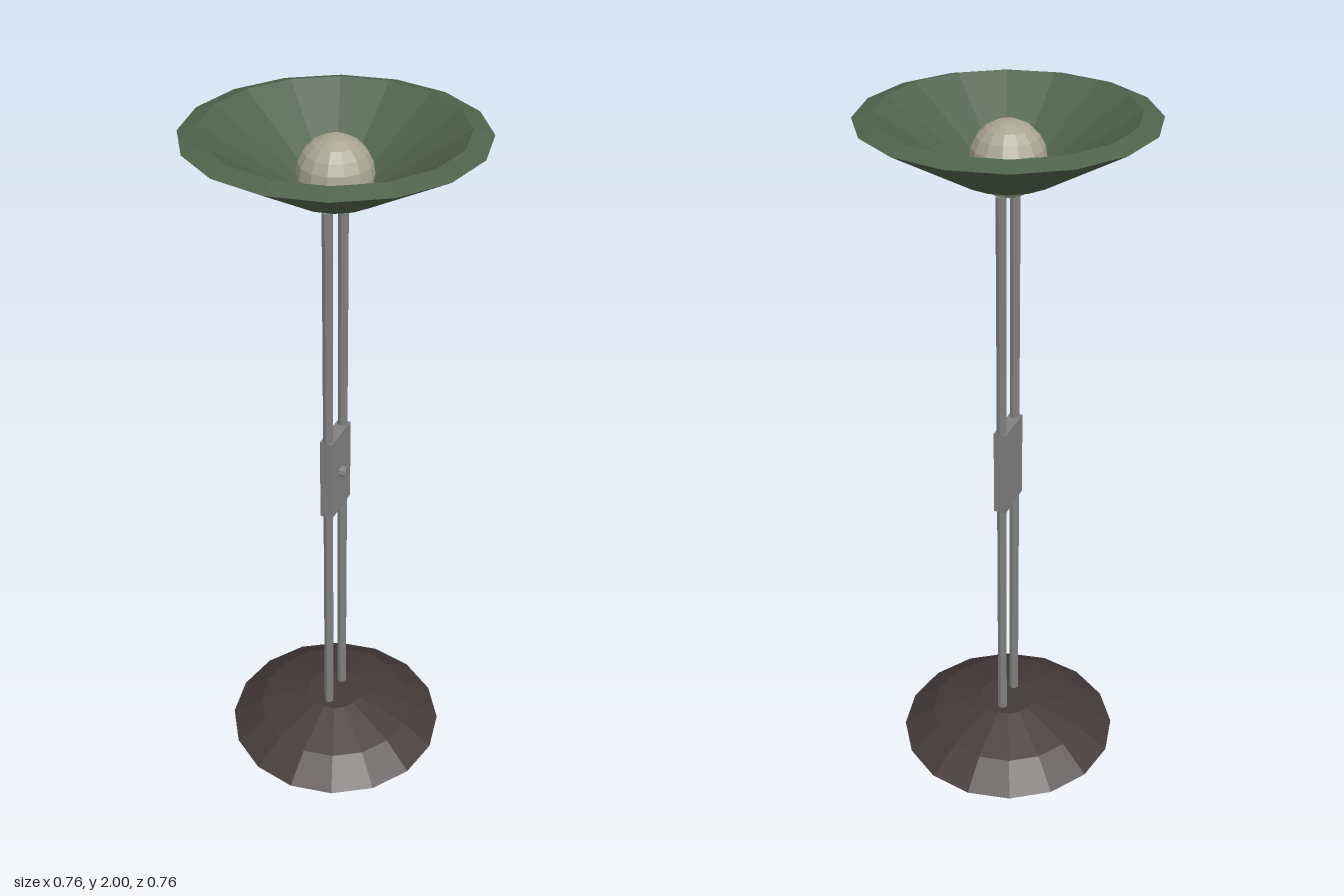
import * as THREE from 'three';

const SIDES = 16;

function material(name, color, flatShading = true) {
  const m = new THREE.MeshStandardMaterial({ color, flatShading });
  m.name = name;
  return m;
}

// Revolves [radius, height] pairs listed from the underside outwards and up
function revolve(profile) {
  return new THREE.LatheGeometry(profile.map(([r, y]) => new THREE.Vector2(r, y)), SIDES);
}

export function createModel() {
  const group = new THREE.Group();
  const green = material('green shade', 0x4f634c);
  const metal = material('grey metal', 0x808080);
  const brown = material('dark brown base', 0x443a3a);
  const cream = material('cream bulb', 0xa8a592);

  const add = (name, geometry, mat, x = 0, y = 0, z = 0) => {
    const mesh = new THREE.Mesh(geometry, mat);
    mesh.name = name;
    mesh.position.set(x, y, z);
    group.add(mesh);
    return mesh;
  };

  // Low domed foot with a closed underside
  add('base', revolve([[0, 0], [0.328, 0], [0.236, 0.064], [0.084, 0.114], [0, 0.115]]), brown);

  // Twin uprights
  for (const side of [1, -1]) {
    add(side > 0 ? 'frontPole' : 'backPole',
      new THREE.CylinderGeometry(0.0145, 0.0145, 1.72, 8), metal, 0, 0.94, side * 0.048);
  }

  // Switch block joining the poles, with its knob on the left
  add('switchBlock', new THREE.BoxGeometry(0.036, 0.256, 0.124), metal, 0, 0.99, 0);
  const knob = add('switchKnob', new THREE.CylinderGeometry(0.017, 0.017, 0.026, 10), metal, 0.023, 0.99, 0);
  knob.rotation.z = -Math.PI / 2;

  // Thick-walled bowl, open at the bottom around the bulb
  add('shade', revolve([
    [0.097, 1.85], [0.124, 1.835], [0.378, 1.985], [0.327, 2], [0.097, 1.85],
  ]), green);

  // Round bulb resting on the poles
  add('bulb', new THREE.SphereGeometry(0.097, 14, 10), cream, 0, 1.882, 0);

  return group;
}
